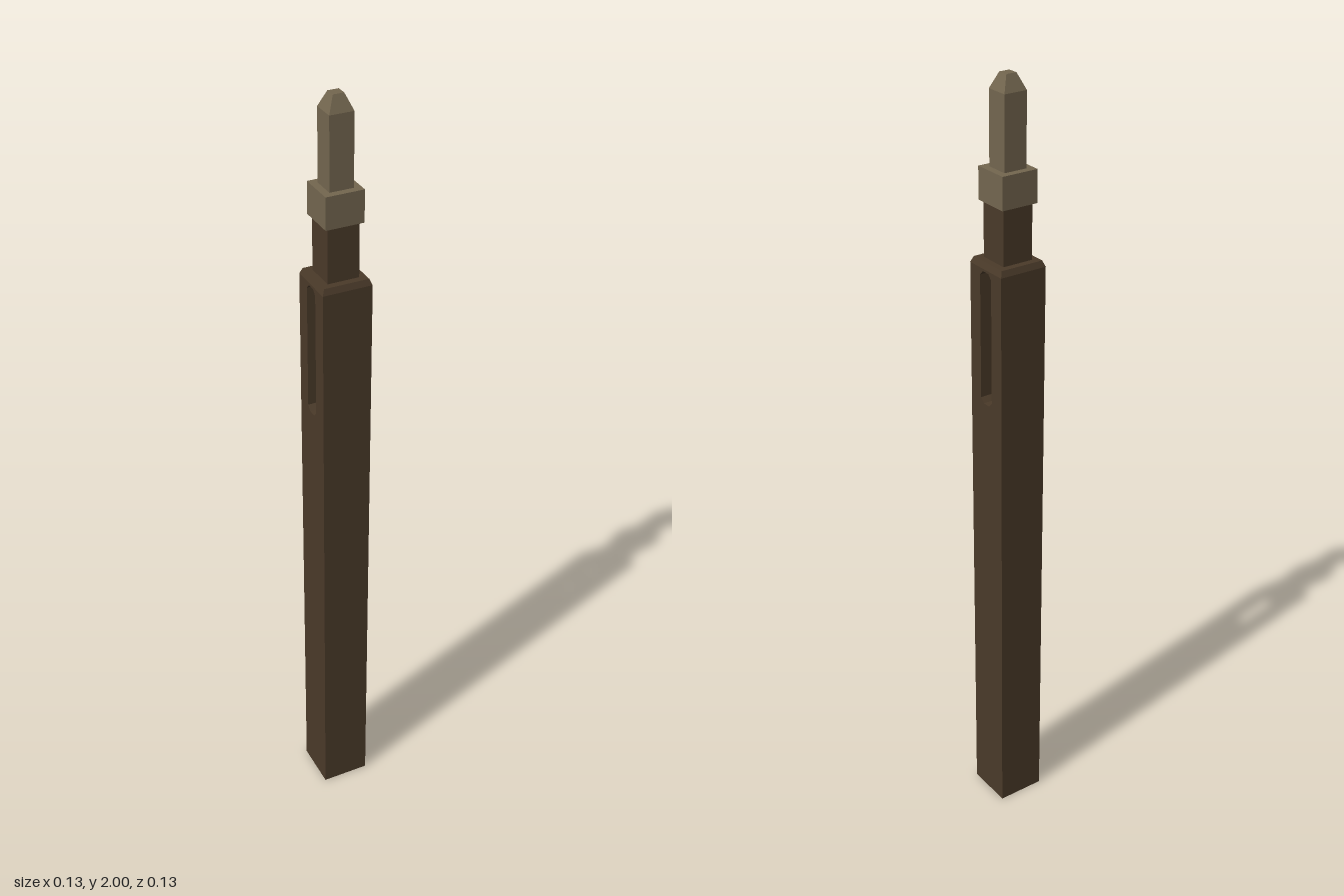
import * as THREE from 'three';

const wood = new THREE.MeshStandardMaterial({ color: 0x4a3a29, flatShading: true });
const metal = new THREE.MeshStandardMaterial({ color: 0x73664f, flatShading: true });

// Square block between two heights, with half-widths at bottom and top
function squareBlock(name, y0, y1, halfBottom, halfTop, material) {
  const r = Math.SQRT2;
  const geo = new THREE.CylinderGeometry(halfTop * r, halfBottom * r, y1 - y0, 4);
  geo.rotateY(Math.PI / 4);
  geo.translate(0, (y0 + y1) / 2, 0);
  const mesh = new THREE.Mesh(geo, material);
  mesh.name = name;
  return mesh;
}

// Square post with a slot running through it from side to side
function slottedPost(half, top) {
  const shape = new THREE.Shape([
    new THREE.Vector2(-half, 0), new THREE.Vector2(half, 0),
    new THREE.Vector2(half, top), new THREE.Vector2(-half, top),
  ]);
  const w = 0.0225, n = 0.011, low = 1.203, high = 1.546, c = 0.012;
  shape.holes.push(new THREE.Path([
    new THREE.Vector2(-n, low), new THREE.Vector2(-w, low + c),
    new THREE.Vector2(-w, high - c), new THREE.Vector2(-n, high),
    new THREE.Vector2(n, high), new THREE.Vector2(w, high - c),
    new THREE.Vector2(w, low + c), new THREE.Vector2(n, low),
  ]));
  const geo = new THREE.ExtrudeGeometry(shape, { depth: half * 2, bevelEnabled: false });
  geo.translate(0, 0, -half);
  geo.rotateY(Math.PI / 2);
  const mesh = new THREE.Mesh(geo, wood);
  mesh.name = 'slottedPost';
  return mesh;
}

export function createModel() {
  const model = new THREE.Group();
  model.name = 'slottedPostWithTip';
  model.add(
    slottedPost(0.063, 1.552),
    squareBlock('postBevel', 1.552, 1.567, 0.063, 0.057, wood),
    squareBlock('neck', 1.567, 1.705, 0.04, 0.04, wood),
    squareBlock('collar', 1.705, 1.785, 0.048, 0.048, metal),
    squareBlock('pin', 1.785, 1.962, 0.03, 0.03, metal),
    squareBlock('pinPoint', 1.962, 2, 0.03, 0.0135, metal),
  );
  return model;
}
